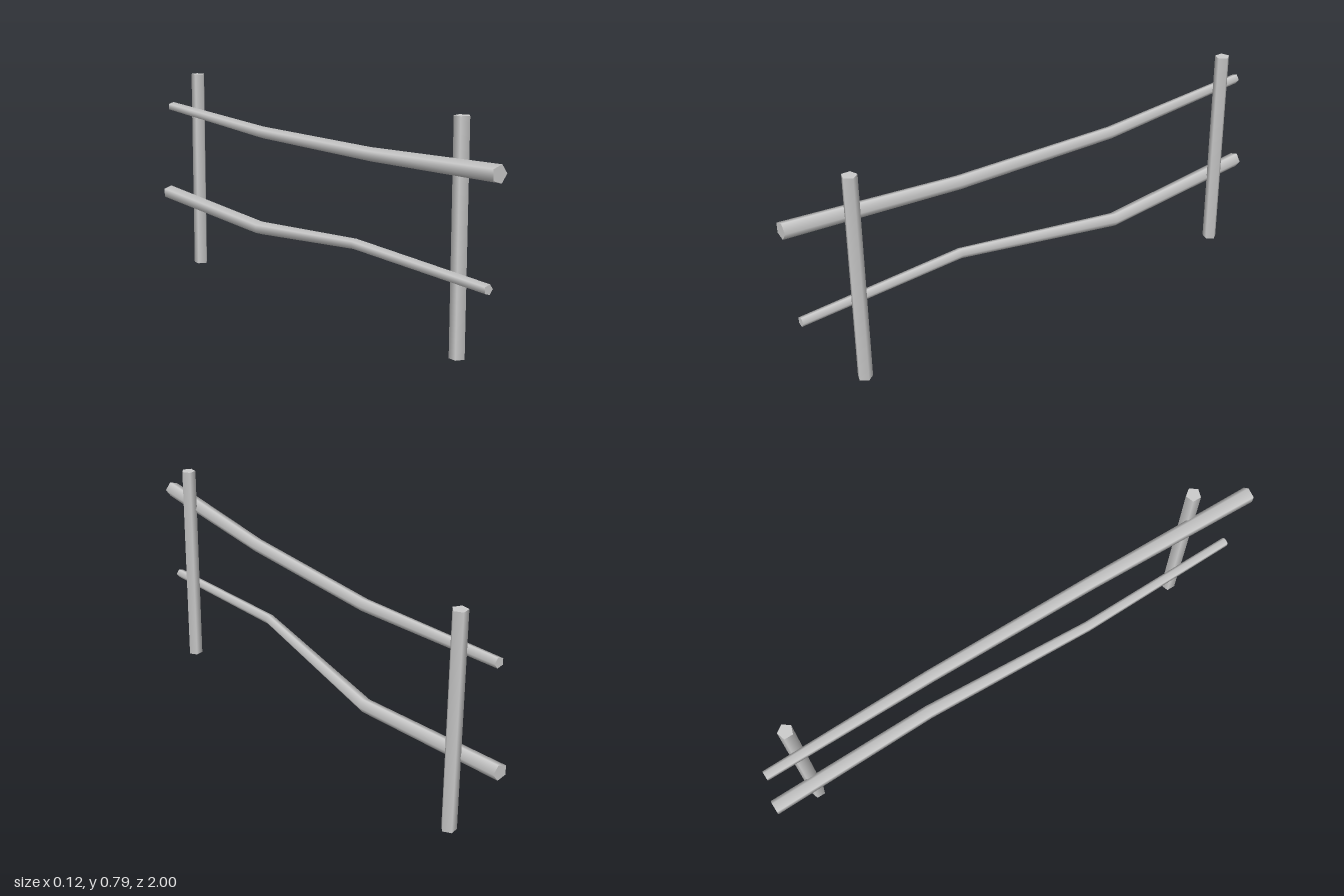
import * as THREE from 'three';

const material = new THREE.MeshStandardMaterial({ color: 0xcccccc });
const SIDES = 5;

// Upright five-sided post with one corner towards +x
function makePost(name, z) {
  const height = 0.79;
  const geo = new THREE.CylinderGeometry(0.0276, 0.0276, height, SIDES, 1, false, Math.PI / 2);
  const post = new THREE.Mesh(geo, material);
  post.name = name;
  post.position.set(0.0305, height / 2, z);
  return post;
}

// Crooked, tapering five-sided rail; stations run front to back as [x, y, z, radius]
function makeRail(name, stations) {
  const last = stations.length - 1;
  const geo = new THREE.CylinderGeometry(1, 1, last, SIDES, last, false, Math.PI / 2);
  geo.rotateX(Math.PI / 2);
  const pos = geo.attributes.position;
  for (let i = 0; i < pos.count; i++) {
    const [x, y, z, r] = stations[Math.round(last / 2 - pos.getZ(i))];
    pos.setXYZ(i, x + pos.getX(i) * r, y + pos.getY(i) * r, z);
  }
  const rail = new THREE.Mesh(geo, material);
  rail.name = name;
  return rail;
}

export function createModel() {
  const fence = new THREE.Group();
  fence.name = 'fence';

  fence.add(makePost('frontPost', 0.772), makePost('backPost', -0.835));

  // Upper rail: thick at the front, sagging slightly in the middle
  fence.add(makeRail('upperRail', [
    [-0.022, 0.641, 1, 0.031],
    [-0.001, 0.613, 0.34, 0.026],
    [0.002, 0.61, -0.32, 0.024],
    [-0.02, 0.647, -0.965, 0.019],
  ]));

  // Lower rail: thick at the back, with a stronger kink
  fence.add(makeRail('lowerRail', [
    [-0.022, 0.278, 0.965, 0.018],
    [-0.041, 0.302, 0.32, 0.02],
    [0.006, 0.235, -0.345, 0.0265],
    [-0.022, 0.279, -1, 0.029],
  ]));

  return fence;
}
